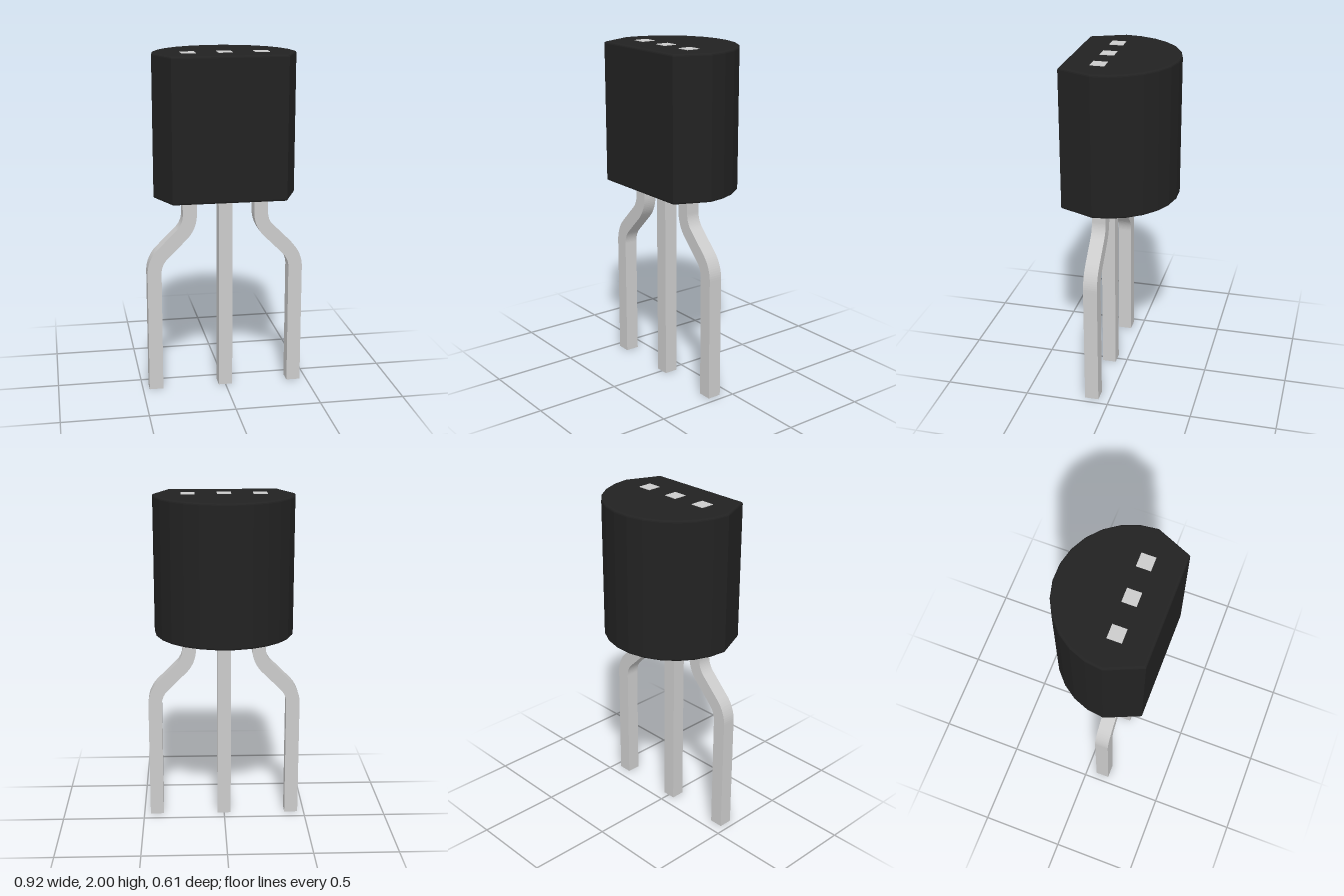
import * as THREE from 'three';

const HALF = 0.041; // half thickness of the square leads
const LEAD_Z = 0.106;

// Extrudes a front-view outline to the lead thickness, centred on z = 0
function leadGeometry(shape) {
  const geometry = new THREE.ExtrudeGeometry(shape, {
    depth: HALF * 2, bevelEnabled: false, curveSegments: 6,
  });
  return geometry.translate(0, 0, -HALF);
}

// Lead that runs out of the case at x = 0.21 and bends outward to x = 0.42
function bentLeadShape() {
  const q = Math.PI / 4;
  const R = 0.165, top = 0.21, foot = 0.42;
  const low = [foot - R, 0.724], high = [top + R, 1.07];
  const s = new THREE.Shape();
  s.moveTo(foot + HALF, 0);
  s.lineTo(foot + HALF, low[1]);
  s.absarc(...low, R + HALF, 0, q, false);
  s.absarc(...high, R - HALF, 5 * q, 4 * q, true);
  s.lineTo(top + HALF, 2);
  s.lineTo(top - HALF, 2);
  s.absarc(...high, R + HALF, 4 * q, 5 * q, false);
  s.absarc(...low, R - HALF, q, 0, true);
  s.lineTo(foot - HALF, 0);
  s.closePath();
  return s;
}

export function createModel() {
  const group = new THREE.Group();
  const plastic = new THREE.MeshStandardMaterial({ color: 0x222222, flatShading: true });
  const metal = new THREE.MeshStandardMaterial({ color: 0xcccccc, flatShading: true });

  const add = (name, geometry, material, z = 0) => {
    const mesh = new THREE.Mesh(geometry, material);
    mesh.name = name;
    mesh.position.z = z;
    group.add(mesh);
  };

  // Case: 13-sided half round back, tapered cheeks and a flat front
  const outline = [[-0.328, -0.304], [0.328, -0.304]];
  for (let i = 0; i <= 13; i++) {
    const a = (i / 13) * Math.PI;
    outline.push([0.414 * Math.cos(a), -0.103 + 0.411 * Math.sin(a)]);
  }
  const bevel = 0.012, bottom = 1.17, topY = 1.997;
  const body = new THREE.ExtrudeGeometry(
    new THREE.Shape(outline.map(([x, y]) => new THREE.Vector2(x, y))),
    {
      depth: topY - bottom - 2 * bevel,
      bevelSize: bevel, bevelThickness: bevel, bevelOffset: -bevel, bevelSegments: 3,
    },
  );
  body.rotateX(-Math.PI / 2).translate(0, bottom + bevel, 0);
  add('case', body, plastic);

  // Leads pass through the case and show as squares on its top
  add('middleLead', new THREE.BoxGeometry(2 * HALF, 2, 2 * HALF).translate(0, 1, 0), metal, LEAD_Z);
  const bent = leadGeometry(bentLeadShape());
  add('leftLead', bent, metal, LEAD_Z);
  add('rightLead', bent.clone().rotateY(Math.PI), metal, LEAD_Z);

  return group;
}
